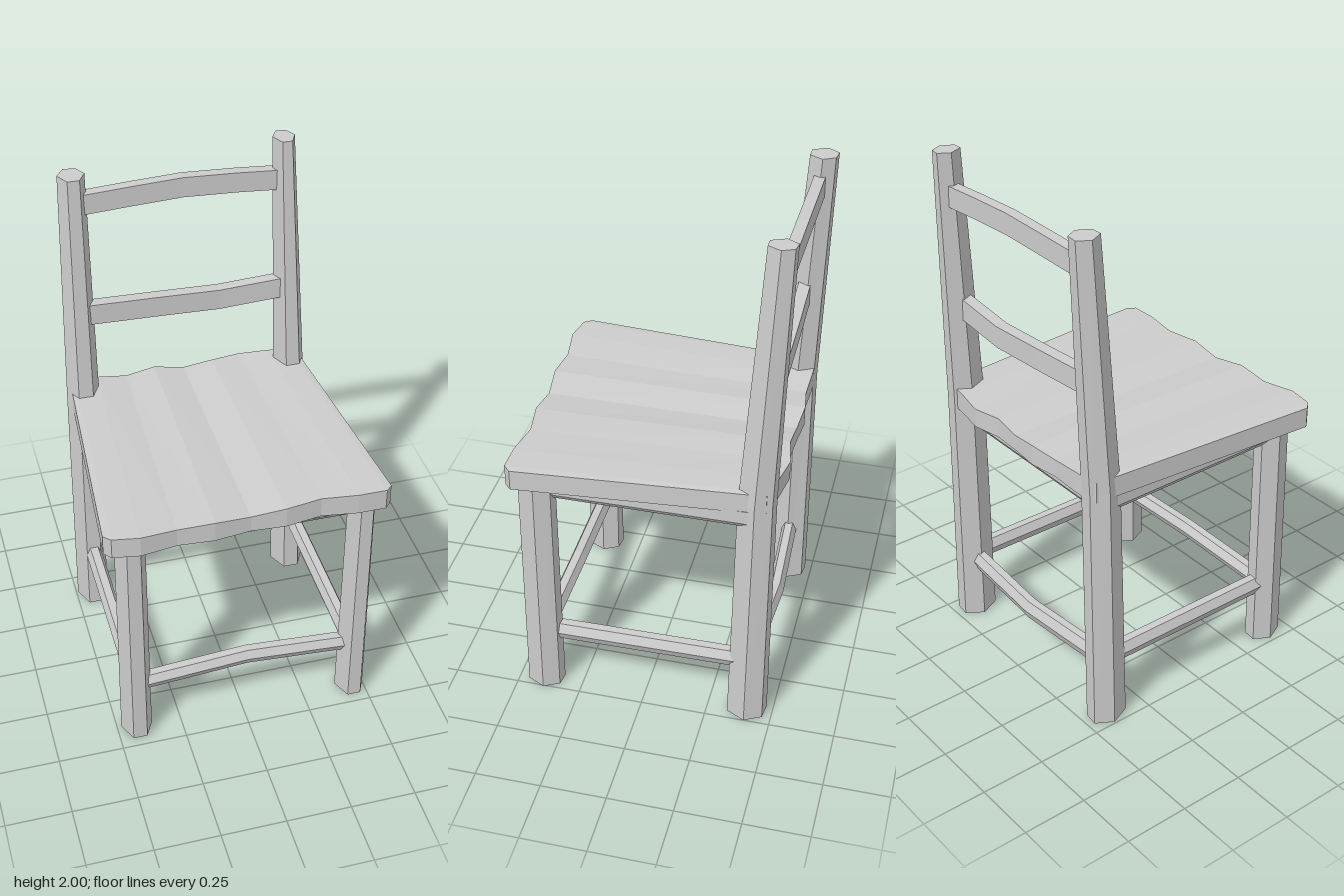
import * as THREE from 'three';

const paint = new THREE.MeshStandardMaterial({ color: 0xcccccc });
paint.name = 'palePaint';

// Flat-faced solid through a list of rings, each running counter-clockwise about the path
function loft(name, rings) {
  const pos = [];
  const tri = (a, b, c) => pos.push(...a, ...b, ...c);
  const n = rings[0].length;
  for (let i = 0; i < rings.length - 1; i++) {
    for (let j = 0; j < n; j++) {
      const k = (j + 1) % n, r = rings[i], s = rings[i + 1];
      tri(r[j], r[k], s[k]);
      tri(r[j], s[k], s[j]);
    }
  }
  const first = rings[0], last = rings[rings.length - 1];
  for (let j = 1; j < n - 1; j++) {
    tri(first[0], first[j + 1], first[j]);
    tri(last[0], last[j], last[j + 1]);
  }
  const geometry = new THREE.BufferGeometry();
  geometry.setAttribute('position', new THREE.Float32BufferAttribute(pos, 3));
  geometry.computeVertexNormals();
  const mesh = new THREE.Mesh(geometry, paint);
  mesh.name = name;
  return mesh;
}

// Hand-cut hexagon, flat towards the front: [z, x] in half widths
const HEX = [[1, -0.45], [1, 0.45], [0, 1], [-0.9, 0.5], [-1, -0.4], [-0.1, -1]];

// Upright post; each station is [y, x centre, z centre, half width x, half width z]
const post = (name, stations) => loft(name, stations.map(([y, x, z, w, d]) =>
  HEX.map(([v, u]) => [x + u * w, y, z + v * d])));

// Bar profiles as [across, up] in half sizes
const CHAMFERED = [[1, -0.4], [1, 1], [-1, 1], [-1, -0.4], [-0.5, -1], [0.5, -1]];
const SIX_SIDED = [[1, 0], [0.5, 1], [-0.5, 1], [-1, 0], [-0.5, -1], [0.5, -1]];
const PLANK = [[1, -1], [1, 1], [-1, 1], [-1, -1]];

// Bar along x; stations are [x, y, z]
const crossBar = (name, profile, stations, d, h) => loft(name, stations.map(([x, y, z]) =>
  profile.map(([a, b]) => [x, y + b * h, z - a * d])));

// Bar along z; stations are [x, y, z]
const sideBar = (name, profile, stations, d, h) => loft(name, stations.map(([x, y, z]) =>
  profile.map(([a, b]) => [x + a * d, y + b * h, z])));

// Seat with wavy front and back edges and a gently rippled top
function seat() {
  // x at front, z front, z back, top at front, top at back
  const stations = [
    [-0.53, 0.465, -0.46, 1.05, 1.05], [-0.505, 0.493, -0.47, 1.052, 1.052],
    [-0.405, 0.51, -0.472, 1.052, 1.052], [-0.27, 0.49, -0.468, 1.042, 1.04],
    [-0.135, 0.5, -0.484, 1.05, 1.05], [0, 0.483, -0.474, 1.035, 1.033],
    [0.13, 0.492, -0.47, 1.051, 1.05], [0.265, 0.47, -0.492, 1.05, 1.045],
    [0.4, 0.49, -0.474, 1.053, 1.053], [0.505, 0.49, -0.46, 1.053, 1.053],
    [0.53, 0.465, -0.45, 1.05, 1.05],
  ];
  return loft('seat', stations.map(([x, zf, zb, yf, yb]) => [
    [x * 0.865, 0.97, zb], [x * 0.865, yb, zb], [x, yf, zf], [x, 0.97, zf],
  ]));
}

export function createModel() {
  const chair = new THREE.Group();
  chair.name = 'chair';
  chair.add(seat());

  // Legs; the back ones bend at the seat and carry on up as backrest posts
  chair.add(
    post('frontLegRight', [[0, -0.423, 0.395, 0.06, 0.066], [0.98, -0.42, 0.392, 0.056, 0.064]]),
    post('frontLegLeft', [[0, 0.447, 0.395, 0.058, 0.066], [0.98, 0.45, 0.392, 0.052, 0.064]]),
    post('backPostRight', [[0, -0.43, -0.402, 0.063, 0.072],
      [1.0, -0.418, -0.411, 0.063, 0.066], [1.95, -0.407, -0.462, 0.05, 0.05]]),
    post('backPostLeft', [[0, 0.432, -0.402, 0.068, 0.072],
      [1.0, 0.417, -0.411, 0.061, 0.066], [2.0, 0.386, -0.458, 0.042, 0.048]]),
  );

  // Rails under the seat
  chair.add(
    crossBar('frontRail', CHAMFERED, [[-0.42, 0.937, 0.39], [0.44, 0.937, 0.39]], 0.032, 0.038),
    crossBar('backRail', CHAMFERED, [[-0.42, 0.937, -0.405], [0.42, 0.937, -0.405]], 0.032, 0.038),
  );
  for (const [side, x] of [['Right', -0.425], ['Left', 0.435]]) {
    chair.add(
      sideBar('sideRail' + side, CHAMFERED, [[x, 0.937, -0.4], [x, 0.937, 0.4]], 0.032, 0.038),
      sideBar('sideStretcher' + side, SIX_SIDED, [[x, 0.262, -0.4], [x, 0.255, 0.4]], 0.032, 0.036),
    );
  }

  // Bowed stretchers between the legs
  chair.add(
    crossBar('frontStretcher', SIX_SIDED,
      [[-0.42, 0.237, 0.395], [0.02, 0.26, 0.385], [0.44, 0.24, 0.395]], 0.032, 0.033),
    crossBar('backStretcher', SIX_SIDED,
      [[-0.42, 0.255, -0.405], [0, 0.24, -0.425], [0.42, 0.255, -0.405]], 0.03, 0.038),
  );

  // Backrest slats
  chair.add(
    crossBar('upperSlat', PLANK, [[-0.41, 1.836, -0.453], [-0.2, 1.846, -0.456],
      [0, 1.854, -0.458], [0.2, 1.846, -0.456], [0.39, 1.834, -0.453]], 0.021, 0.04),
    crossBar('lowerSlat', PLANK, [[-0.41, 1.392, -0.418], [-0.12, 1.38, -0.425],
      [0.13, 1.37, -0.428], [0.4, 1.39, -0.418]], 0.023, 0.042),
  );
  return chair;
}
